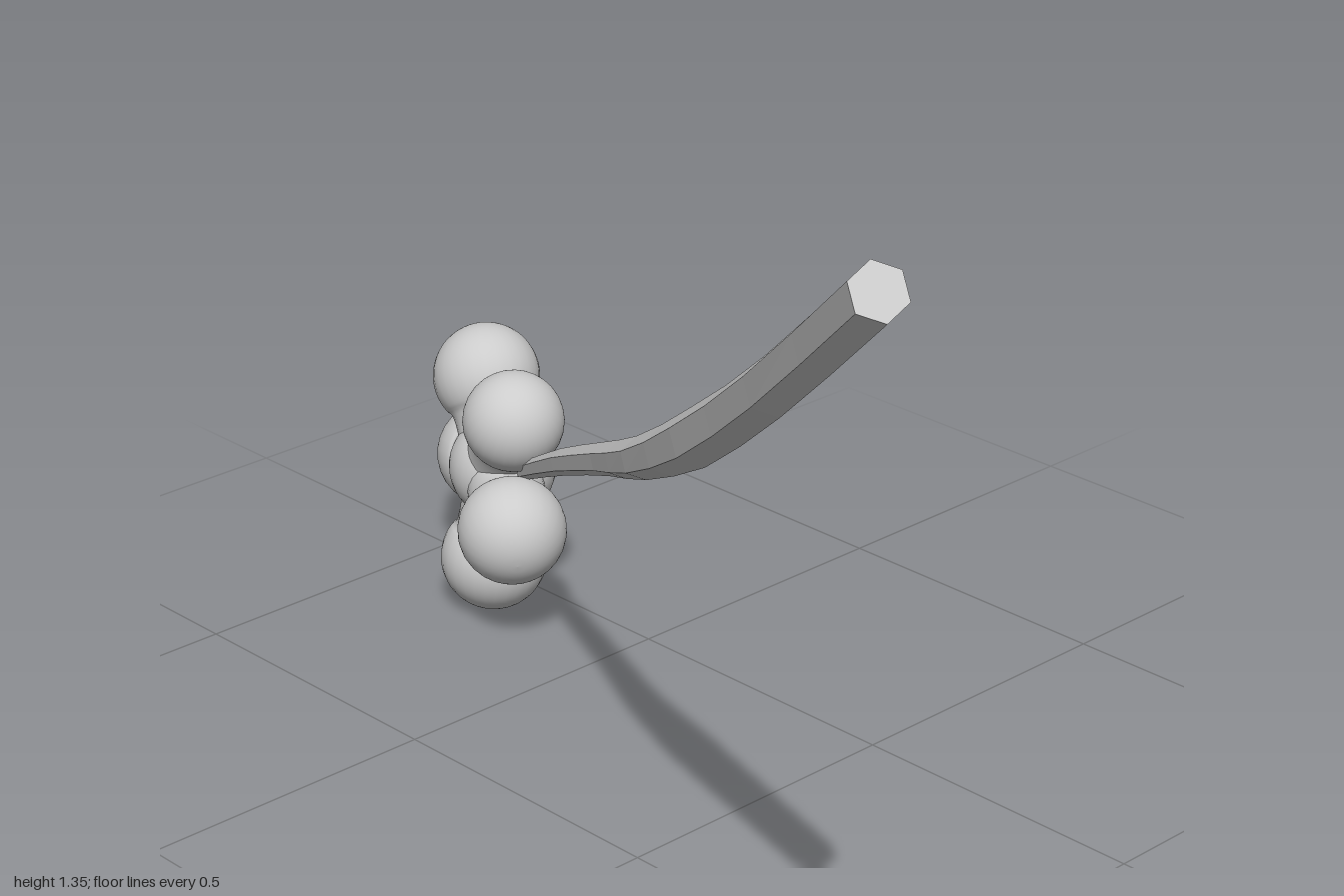
import * as THREE from 'three';

const V = (x, y, z) => new THREE.Vector3(x, y, z);
const smooth = new THREE.MeshStandardMaterial({ color: 0xcccccc });
const faceted = new THREE.MeshStandardMaterial({ color: 0xcccccc, flatShading: true, side: THREE.DoubleSide });

// Six-sided tapering stem swept along a curve, closed by flat end caps
function makeStem() {
  const curve = new THREE.CatmullRomCurve3([
    V(-0.67, 0.285, -0.385), V(-0.4, 0.437, -0.225), V(-0.15, 0.567, -0.08), V(0.05, 0.67, 0.04),
    V(0.3, 0.822, 0.178), V(0.6, 1.035, 0.35), V(0.968, 1.32, 0.57)
  ]);
  const radii = [0.015, 0.021, 0.025, 0.031, 0.04, 0.038, 0.036];
  const rows = radii.length - 1, steps = 12, sides = 6;
  const pos = [], idx = [];
  for (let i = 0; i <= steps; i++) {
    const t = i / steps, p = curve.getPoint(t), tangent = curve.getTangent(t);
    const right = V(0, 1, 0).cross(tangent).normalize();
    const up = tangent.clone().cross(right);
    const k = Math.min(Math.floor(t * rows), rows - 1);
    const r = THREE.MathUtils.lerp(radii[k], radii[k + 1], t * rows - k);
    for (let j = 0; j < sides; j++) {
      const a = j / sides * Math.PI * 2 + Math.PI / 2 + 0.12;
      const q = p.clone().addScaledVector(right, r * Math.cos(a)).addScaledVector(up, r * Math.sin(a));
      pos.push(q.x, q.y, q.z);
      if (i < steps) {
        const n = i * sides + j, m = i * sides + (j + 1) % sides;
        idx.push(n, m, n + sides, m, m + sides, n + sides);
      }
    }
  }
  const last = steps * sides;
  for (let j = 1; j < sides - 1; j++) idx.push(0, j + 1, j, last, last + j, last + j + 1);
  const geo = new THREE.BufferGeometry();
  geo.setAttribute('position', new THREE.Float32BufferAttribute(pos, 3));
  geo.setIndex(idx);
  geo.computeVertexNormals();
  const mesh = new THREE.Mesh(geo, faceted);
  mesh.name = 'stem';
  return mesh;
}

// Pear-shaped petal: a flared neck at the centre swelling into a round tip
function makePetal(center, tip, r) {
  const axis = tip.clone().sub(center), d = axis.length();
  const pts = [new THREE.Vector2(0.085, 0.01), new THREE.Vector2(0.071, 0.035), new THREE.Vector2(0.063, 0.06)];
  for (let i = 0; i <= 14; i++) {
    const a = THREE.MathUtils.lerp(-0.72, Math.PI / 2, i / 14);
    pts.push(new THREE.Vector2(Math.max(r * Math.cos(a), 0), d + r * Math.sin(a)));
  }
  const profile = new THREE.SplineCurve(pts).getPoints(40);
  profile.forEach(p => { p.x = Math.max(p.x, 0); });
  const petal = new THREE.Mesh(new THREE.LatheGeometry(profile, 28), smooth);
  petal.position.copy(center);
  petal.quaternion.setFromUnitVectors(V(0, 1, 0), axis.normalize());
  return petal;
}

export function createModel() {
  const model = new THREE.Group();
  model.add(makeStem());

  const flower = new THREE.Group();
  flower.name = 'flower';
  const center = V(-0.768, 0.25, -0.425);
  const tips = [
    [V(-0.842, 0.378, -0.458), 0.088],
    [V(-0.675, 0.376, -0.368), 0.082],
    [V(-0.647, 0.203, -0.337), 0.088],
    [V(-0.77, 0.092, -0.405), 0.088],
    [V(-0.91, 0.197, -0.522), 0.089]
  ];
  tips.forEach(([tip, r], i) => {
    const petal = makePetal(center, tip, r);
    petal.name = 'petal' + (i + 1);
    flower.add(petal);
  });

  // Rounded heart, bulging on both faces of the bloom
  const heart = new THREE.Mesh(new THREE.SphereGeometry(0.088, 32, 24), smooth);
  heart.name = 'flowerHeart';
  heart.position.copy(center);
  flower.add(heart);

  model.add(flower);
  return model;
}
